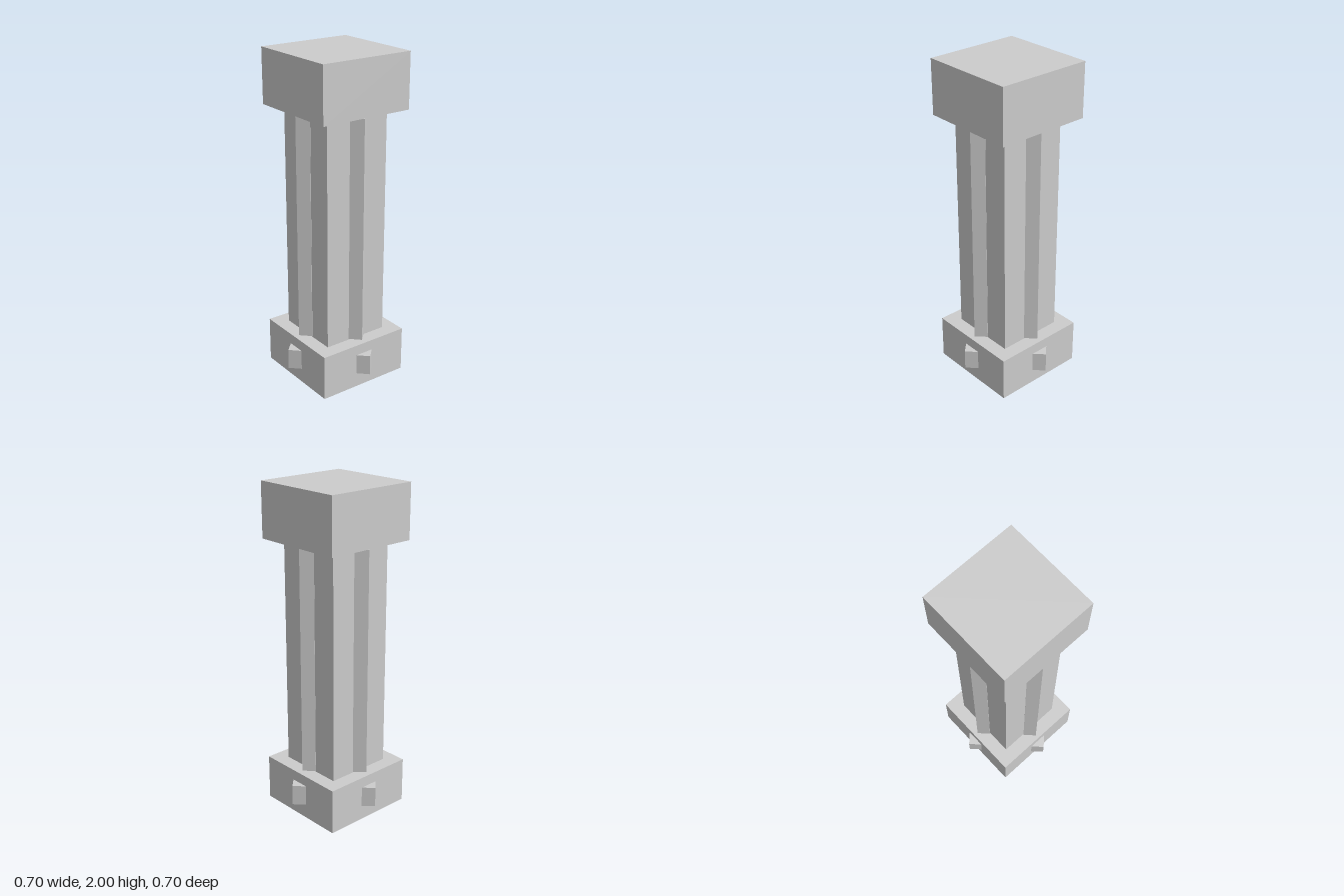
import * as THREE from 'three';

export function createModel() {
  const model = new THREE.Group();
  model.name = 'pillar';

  const stone = new THREE.MeshStandardMaterial({ color: 0xcccccc });
  stone.name = 'grey stone';

  // Square block of the given width, spanning bottom to top
  function block(name, width, bottom, top) {
    const mesh = new THREE.Mesh(new THREE.BoxGeometry(width, top - bottom, width), stone);
    mesh.position.y = (bottom + top) / 2;
    mesh.name = name;
    return mesh;
  }

  // Main body: base, shaft and capital
  model.add(
    block('base', 0.59, 0, 0.28),
    block('shaft', 0.416, 0.28, 1.67),
    block('capital', 0.59, 1.67, 2),
  );

  // Square bars turned 45 degrees, half sunk into each of the four sides
  const barWidth = 0.0575 * Math.SQRT2;
  for (let i = 0; i < 4; i++) {
    const angle = (i * Math.PI) / 2;
    const addBar = (name, bottom, top, distance) => {
      const bar = block(name + (i + 1), barWidth, bottom, top);
      bar.position.x = Math.sin(angle) * distance;
      bar.position.z = Math.cos(angle) * distance;
      bar.rotation.y = Math.PI / 4;
      model.add(bar);
    };
    addBar('shaftRidge', 0.29, 1.66, 0.215);
    addBar('baseStud', 0.09, 0.215, 0.295);
  }

  return model;
}
